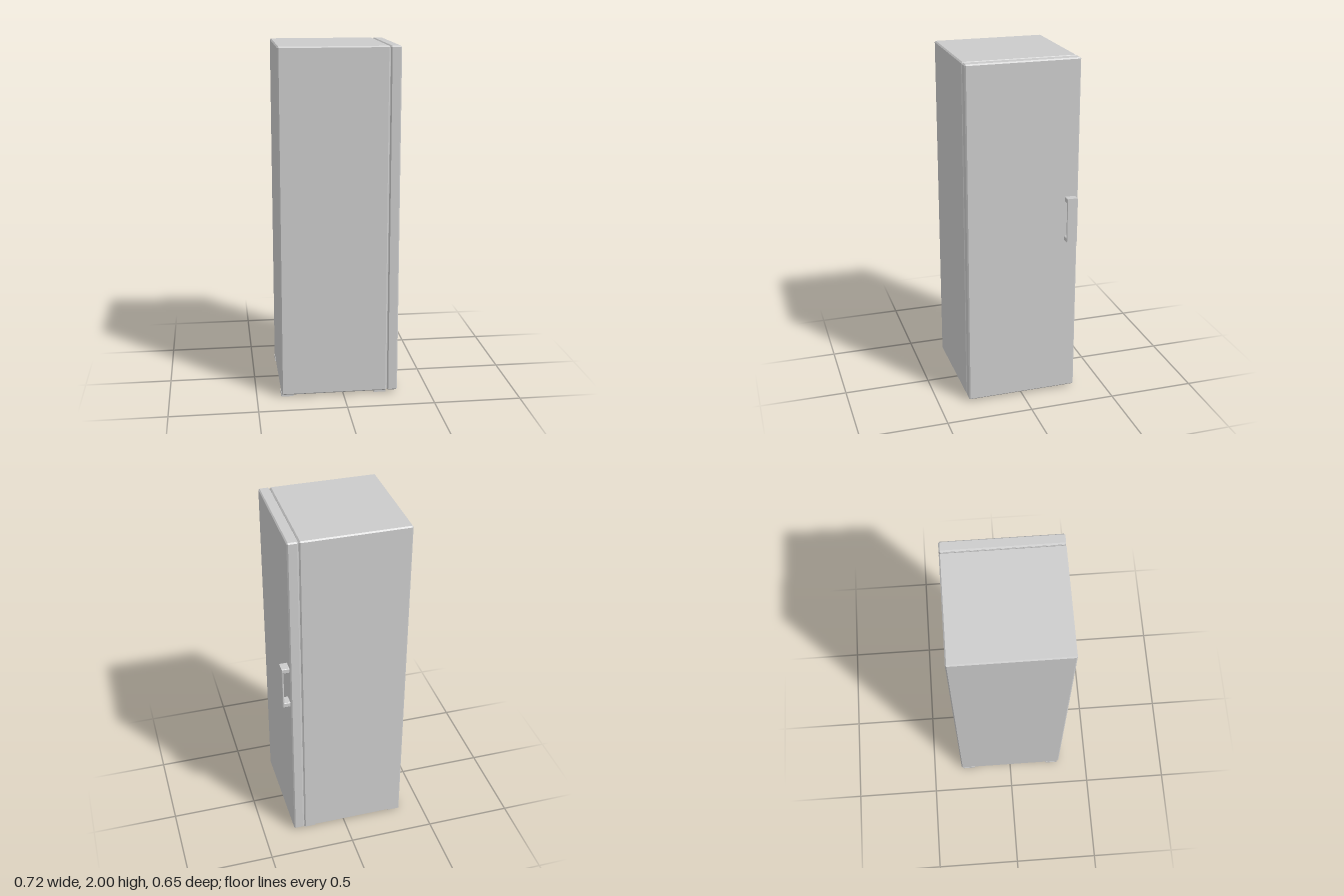
import * as THREE from 'three';
import { ConvexGeometry } from 'three/addons/geometries/ConvexGeometry.js';

const material = new THREE.MeshStandardMaterial({ color: 0xcccccc, flatShading: true });

// Box between two corners with all edges chamfered by c
function chamferBox(min, max, c) {
  const centre = min.map((v, i) => (v + max[i]) / 2);
  const half = max.map((v, i) => (v - min[i]) / 2);
  const points = [];
  for (const sx of [-1, 1]) for (const sy of [-1, 1]) for (const sz of [-1, 1]) {
    const s = [sx, sy, sz];
    // each corner becomes three points, one on each adjoining face
    for (let face = 0; face < 3; face++) {
      points.push(new THREE.Vector3(...s.map((d, i) => centre[i] + d * (half[i] - (i === face ? 0 : c)))));
    }
  }
  return new ConvexGeometry(points);
}

function plainBox(min, max) {
  const geometry = new THREE.BoxGeometry(...max.map((v, i) => v - min[i]));
  return geometry.translate(...max.map((v, i) => (v + min[i]) / 2));
}

export function createModel() {
  const model = new THREE.Group();
  model.name = 'refrigerator';
  const add = (name, geometry) => {
    const mesh = new THREE.Mesh(geometry, material);
    mesh.name = name;
    model.add(mesh);
  };

  // Cabinet, door and the recessed seal between them
  add('cabinet', chamferBox([-0.358, 0.013, -0.323], [0.252, 2, 0.323], 0.007));
  add('door', chamferBox([0.256, 0.013, -0.323], [0.316, 2, 0.323], 0.007));
  add('doorSeal', plainBox([0.25, 0.023, -0.313], [0.258, 1.99, 0.313]));

  // C-shaped handle: outline in x/y, extruded along z with a small bevel
  const b = 0.003;
  const x0 = 0.312, x1 = 0.36 - b, xi = 0.35 + b;
  const y0 = 0.955 + b, y1 = 1.218 - b, yi0 = 0.984 - b, yi1 = 1.189 + b;
  const outline = new THREE.Shape([
    [x0, y0], [x1, y0], [x1, y1], [x0, y1],
    [x0, yi1], [xi, yi1], [xi, yi0], [x0, yi0],
  ].map(([x, y]) => new THREE.Vector2(x, y)));
  const handle = new THREE.ExtrudeGeometry(outline, {
    depth: 0.062 - 2 * b, bevelEnabled: true, bevelSize: b, bevelThickness: b, bevelSegments: 1,
  });
  handle.translate(0, 0, -0.307 + b);
  add('doorHandle', handle);

  // Four low square feet under the cabinet corners
  for (const x of [-0.325, 0.215]) {
    for (const z of [-0.273, 0.273]) {
      add('foot', plainBox([x - 0.035, 0, z - 0.037], [x + 0.035, 0.018, z + 0.037]));
    }
  }
  return model;
}
